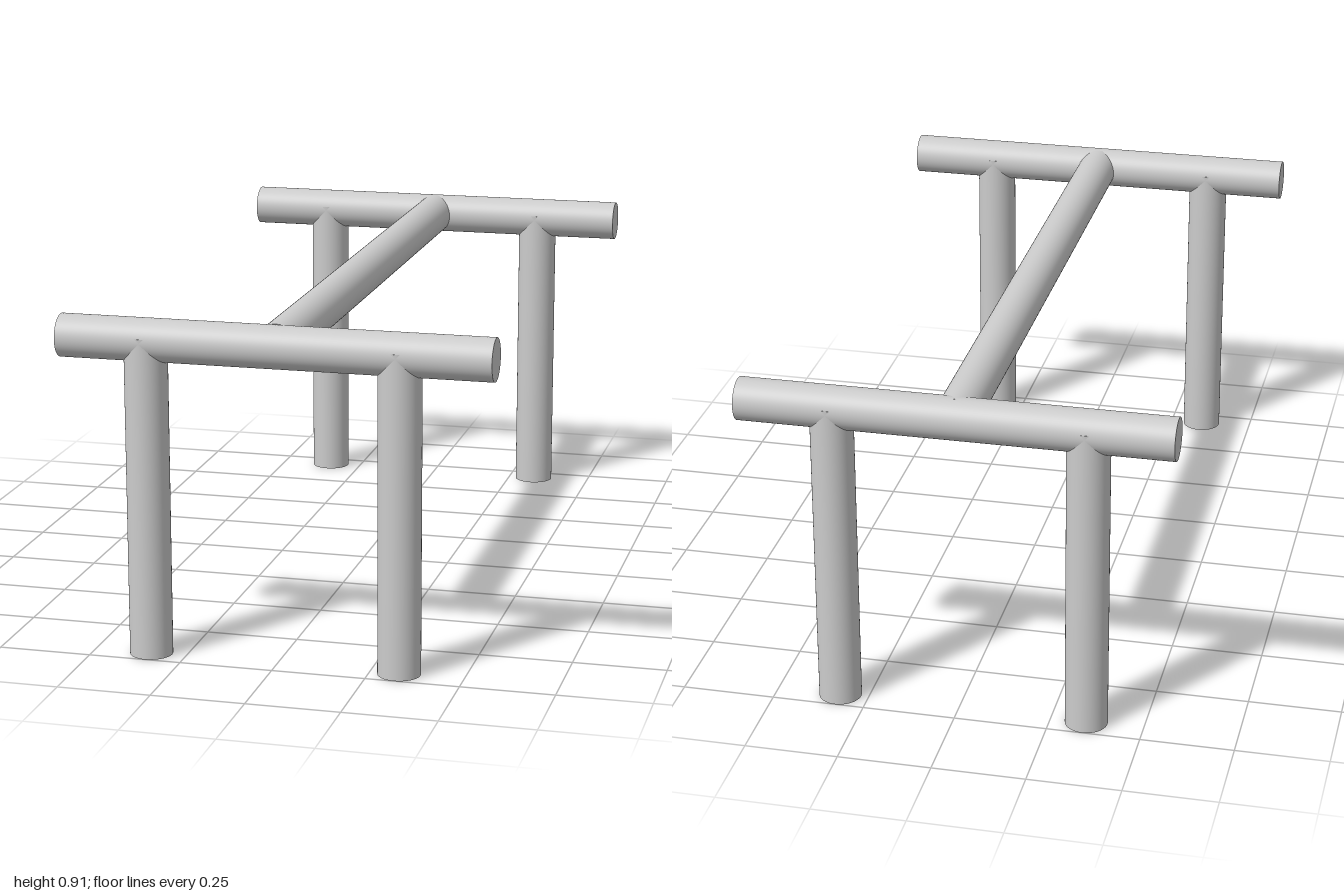
import * as THREE from 'three';

const R = 0.057; // radius shared by all poles
const RAIL_Y = 0.853;
const RAIL_Z = 0.943;

export function createModel() {
  const model = new THREE.Group();
  model.name = 'trestleFrame';
  const material = new THREE.MeshStandardMaterial({ color: 0xcccccc });

  // A capped round pole centred on its own middle
  function pole(name, length, x, y, z) {
    const mesh = new THREE.Mesh(new THREE.CylinderGeometry(R, R, length, 64), material);
    mesh.name = name;
    mesh.position.set(x, y, z);
    model.add(mesh);
    return mesh;
  }

  for (const [end, side] of [['front', 1], ['back', -1]]) {
    // Cross rail along x
    pole(end + 'Rail', 1.15, 0, RAIL_Y, side * RAIL_Z).rotation.z = Math.PI / 2;

    // Legs run up into the rail
    const legTop = 0.865;
    pole(end + 'LeftLeg', legTop, 0.328, legTop / 2, side * RAIL_Z);
    pole(end + 'RightLeg', legTop, -0.346, legTop / 2, side * RAIL_Z);
  }

  // Long beam joining the two rails
  pole('spineBeam', 1.88, 0, RAIL_Y, -0.01).rotation.x = Math.PI / 2;

  return model;
}
